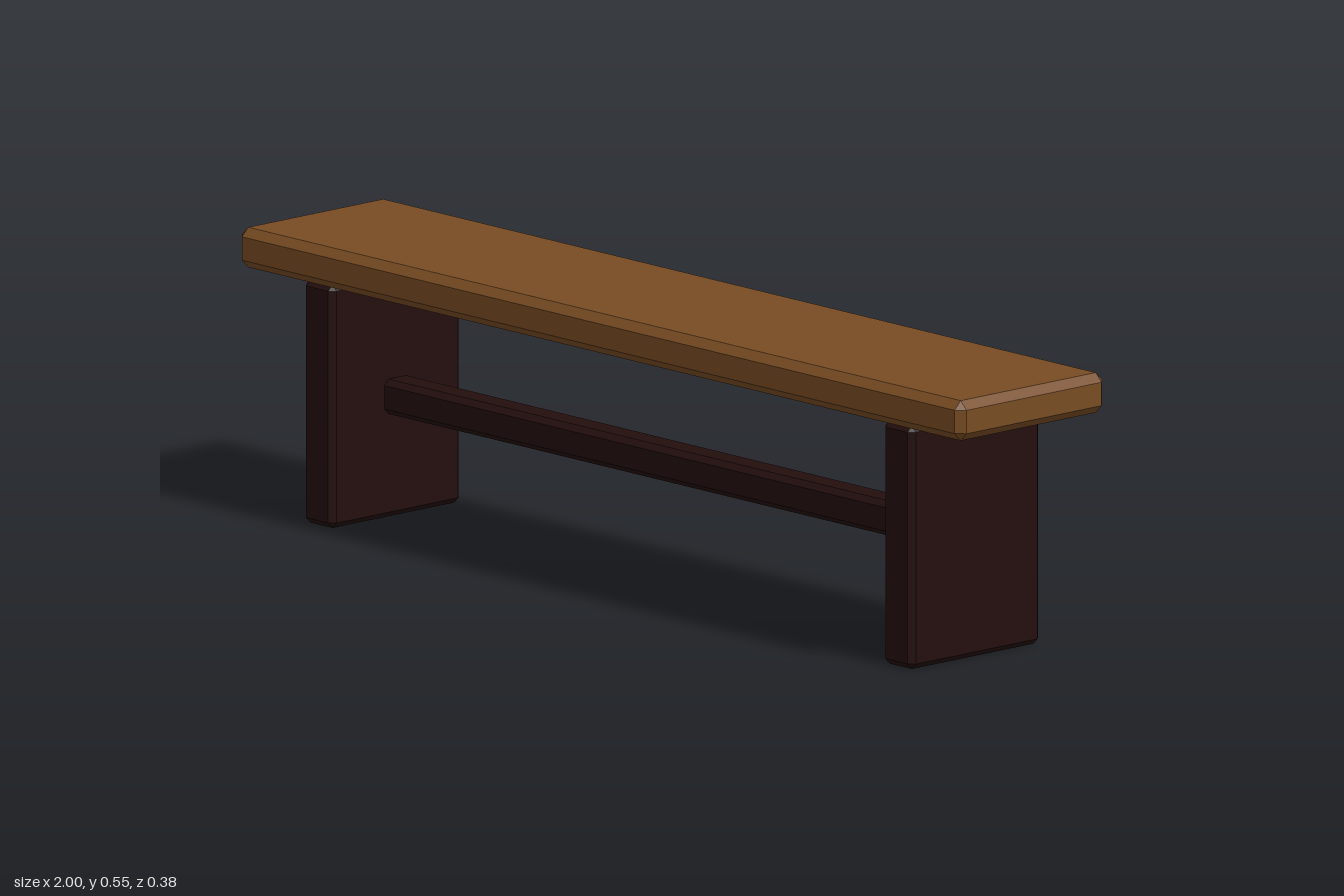
import * as THREE from 'three';
import { ConvexGeometry } from 'three/addons/geometries/ConvexGeometry.js';

// Box with every edge cut at 45 degrees by c
function chamferBox(w, h, d, c) {
  const [x, y, z] = [w / 2, h / 2, d / 2];
  const points = [];
  for (const i of [-1, 1]) for (const j of [-1, 1]) for (const k of [-1, 1]) {
    points.push(
      new THREE.Vector3(i * x, j * (y - c), k * (z - c)),
      new THREE.Vector3(i * (x - c), j * y, k * (z - c)),
      new THREE.Vector3(i * (x - c), j * (y - c), k * z)
    );
  }
  return new ConvexGeometry(points);
}

export function createModel() {
  const bench = new THREE.Group();
  bench.name = 'bench';

  const seatWood = new THREE.MeshStandardMaterial({ color: 0x784c23 });
  seatWood.name = 'warm brown wood';
  const frameWood = new THREE.MeshStandardMaterial({ color: 0x240e0e });
  frameWood.name = 'dark brown wood';

  const add = (name, geometry, material, x, y) => {
    const mesh = new THREE.Mesh(geometry, material);
    mesh.name = name;
    mesh.position.set(x, y, 0);
    bench.add(mesh);
  };

  // Seat plank
  add('seat', chamferBox(2, 0.077, 0.377, 0.016), seatWood, 0, 0.5065);

  // Slab legs
  const leg = chamferBox(0.083, 0.468, 0.333, 0.011);
  add('leftLeg', leg, frameWood, 0.8, 0.234);
  add('rightLeg', leg, frameWood, -0.8, 0.234);

  // Rail joining the legs
  add('stretcher', chamferBox(1.6, 0.067, 0.067, 0.011), frameWood, 0, 0.234);

  return bench;
}
